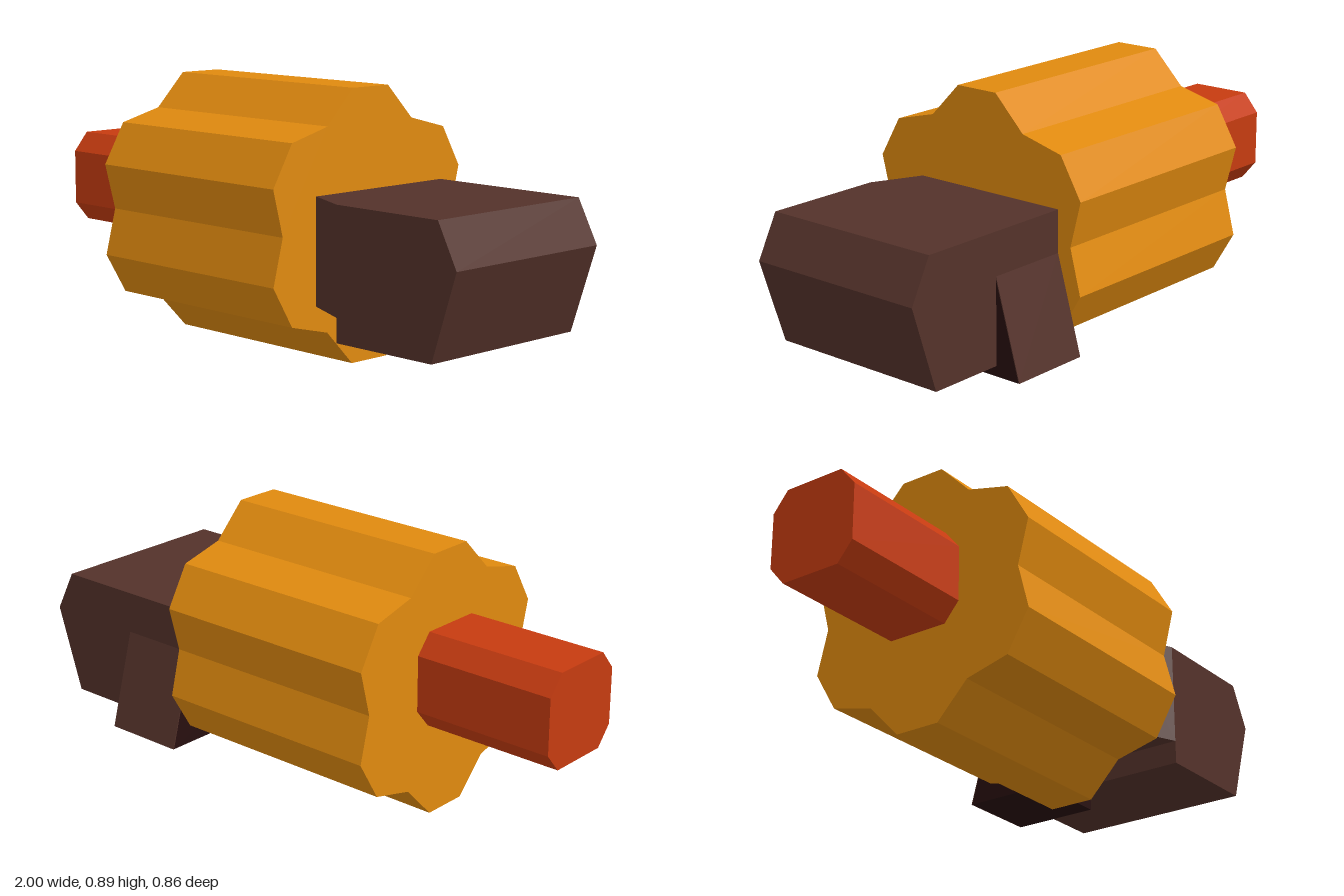
import * as THREE from 'three';

const mat = (name, color) => {
  const m = new THREE.MeshStandardMaterial({ color });
  m.name = name;
  return m;
};

// extrude a [z, y] outline along x
function alongX(points, x0, x1) {
  const shape = new THREE.Shape(points.map(([z, y]) => new THREE.Vector2(-z, y)));
  return new THREE.ExtrudeGeometry(shape, { depth: x1 - x0, bevelEnabled: false })
    .rotateY(Math.PI / 2).translate(x0, 0, 0);
}

// extrude an [x, y] outline along z
function alongZ(points, z0, z1) {
  const shape = new THREE.Shape(points.map(([x, y]) => new THREE.Vector2(x, y)));
  return new THREE.ExtrudeGeometry(shape, { depth: z1 - z0, bevelEnabled: false }).translate(0, 0, z0);
}

// extrude an [x, z] outline upwards
function alongY(points, y0, y1) {
  const shape = new THREE.Shape(points.map(([x, z]) => new THREE.Vector2(x, -z)));
  return new THREE.ExtrudeGeometry(shape, { depth: y1 - y0, bevelEnabled: false })
    .rotateX(-Math.PI / 2).translate(0, y0, 0);
}

// close a half outline by mirroring it over z = 0
const mirrored = half => [...half, ...half.map(([z, y]) => [-z, y]).reverse()];

export function createModel() {
  const group = new THREE.Group();
  const orange = mat('orange', 0xe08a0f);
  const red = mat('red', 0xc63b10);
  const brown = mat('brown', 0x54322a);
  const dark = mat('darkBrown', 0x270f0f);

  const add = (name, geometry, material) => {
    const mesh = new THREE.Mesh(geometry, material);
    mesh.name = name;
    group.add(mesh);
  };

  // six-lobed drum
  const drum = mirrored([
    [0.08, 0.895], [0.193, 0.78], [0.348, 0.74], [0.428, 0.603], [0.388, 0.448],
    [0.428, 0.293], [0.348, 0.157], [0.193, 0.118], [0.08, 0],
  ]);
  add('drum', alongX(drum, -0.487, 0.343), orange);

  // eight-sided rod
  const rod = mirrored([[0.108, 0.646], [0.163, 0.58], [0.163, 0.39], [0.108, 0.325]]);
  add('rod', alongX(rod, -1, -0.495), red);

  // block with a pointed end, and its narrower raised neck
  add('block', alongZ([[0.51, 0.13], [0.905, 0.13], [1, 0.42], [0.925, 0.563], [0.51, 0.563]], -0.338, 0.318), brown);
  add('blockNeck', alongY([[0.343, -0.338], [0.51, -0.338], [0.51, 0.318], [0.343, 0.243]], 0.21, 0.563), brown);

  // wedge under the neck with a brown outer skin
  add('wedge', alongX([[-0.335, 0.42], [-0.427, 0.095], [-0.12, 0.095], [-0.12, 0.215]], 0.343, 0.635), dark);
  add('wedgeSkin', alongX([[-0.338, 0.42], [-0.43, 0.095], [-0.427, 0.095], [-0.335, 0.42]], 0.343, 0.635), brown);

  return group;
}
